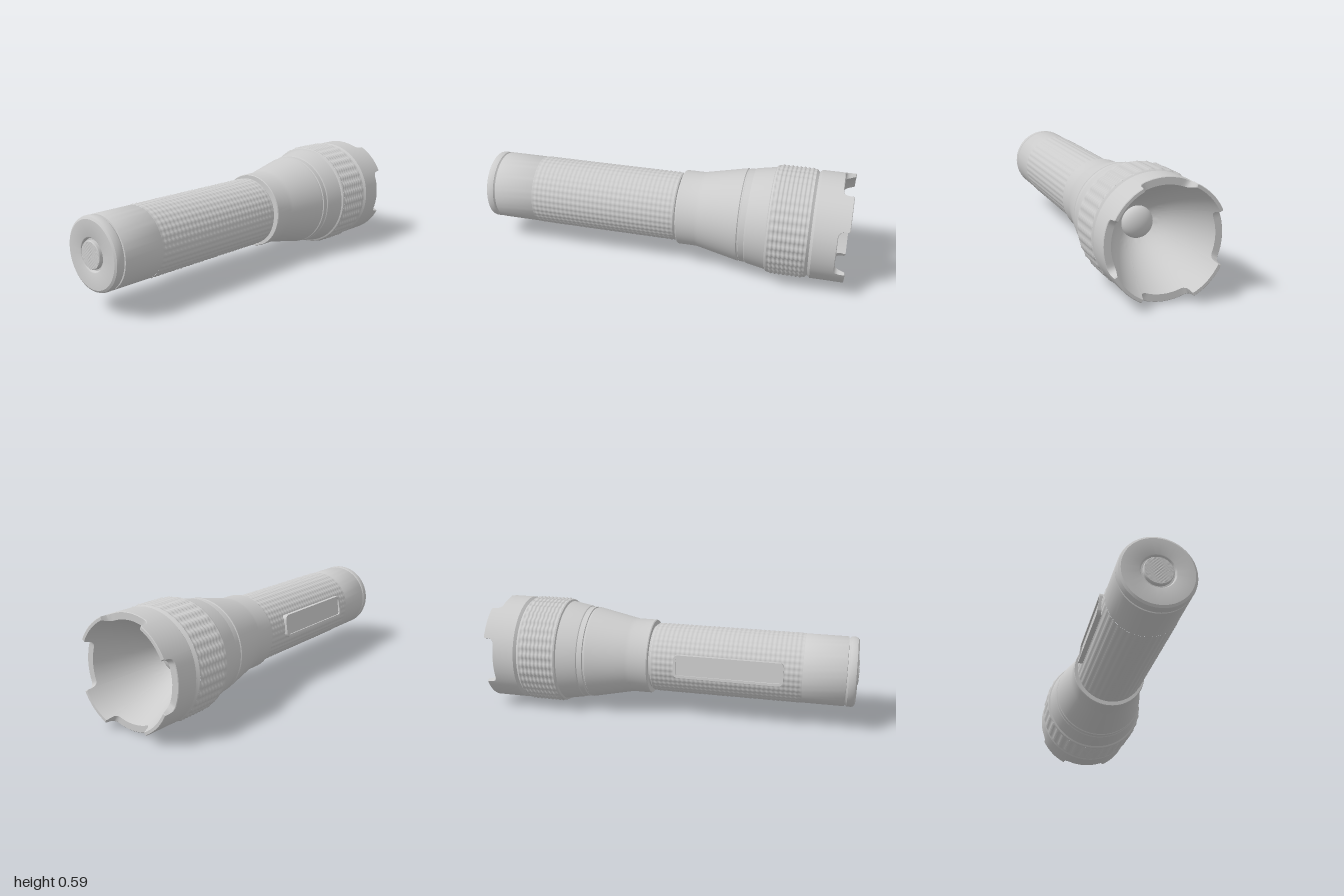
import * as THREE from 'three';
import { toCreasedNormals } from 'three/addons/utils/BufferGeometryUtils.js';

const AXIS_Y = 0.295;
const material = new THREE.MeshStandardMaterial({ color: 0xcccccc });

function addPart(parent, name, geometry, crease = 0.5) {
  const mesh = new THREE.Mesh(crease ? toCreasedNormals(geometry, crease) : geometry, material);
  mesh.name = name;
  parent.add(mesh);
  return mesh;
}

// Turned part along z; profile points are [radius, z] with z rising
function turned(profile, segments = 64) {
  const points = profile.map(([r, z]) => new THREE.Vector2(r, z));
  return new THREE.LatheGeometry(points, segments).rotateX(Math.PI / 2);
}

// Surface round the z axis; at(i, j) gives [radius, angle, z], rows run towards -z
function sweep(columns, rows, at) {
  const positions = [], index = [];
  for (let j = 0; j <= rows; j++) {
    for (let i = 0; i < columns; i++) {
      const [r, a, z] = at(i, j);
      positions.push(r * Math.cos(a), r * Math.sin(a), z);
    }
  }
  for (let j = 0; j < rows; j++) {
    for (let i = 0; i < columns; i++) {
      const n = (i + 1) % columns;
      const a = j * columns + i, b = a + columns, c = j * columns + n, d = c + columns;
      index.push(a, b, c, c, b, d);
    }
  }
  const geometry = new THREE.BufferGeometry();
  geometry.setAttribute('position', new THREE.Float32BufferAttribute(positions, 3));
  geometry.setIndex(index);
  geometry.computeVertexNormals();
  return geometry;
}

// Sleeve covered in staggered bumps
function knurl(zStart, zEnd, radius, height, around, along) {
  const columns = around * 8, rows = along * 4;
  return sweep(columns, rows, (i, j) => {
    const a = (i / columns) * Math.PI * 2, t = j / rows;
    const edge = Math.min(1, j / 2, (rows - j) / 2);
    const u = around * a, v = Math.PI * along * t;
    const bump = Math.cos(u + v) * Math.cos(u - v);
    return [radius + height * bump * edge, a, zStart + (zEnd - zStart) * t];
  });
}

// Reflector radius at a given depth
const BOWL_END = -0.635;
const bowlRadius = (z) => 0.27 * Math.sqrt((-0.6 - z) / 0.4);

// Notched bezel with the reflector bowl inside
function crown() {
  const R = 0.287;
  const half = [[0, 0.055], [0.03, 0.055], [0.06, 0.055], [0.08, 0.055], [0.1, 0.055], [0.112, 0.0525],
    [0.121, 0.046], [0.127, 0.038], [0.13, 0.025], [0.131, 0.004], [0.135, 0], [0.155, 0], [0.18, 0], [0.203, 0]];
  const mirrored = half.slice(1).reverse().map(([s, d]) => [-s, d]);
  const columns = [];
  for (let q = 0; q < 4; q++) {
    for (const [s, d] of [...mirrored, ...half]) columns.push([q * Math.PI / 2 + s / R, -1 + d]);
    columns.push([(q + 0.5) * Math.PI / 2, -1]);
  }
  const bowlRows = 14;
  return sweep(columns.length, 5 + bowlRows, (i, j) => {
    const [a, rim] = columns[i];
    if (j === 0) return [0.275, a, -0.812];
    if (j === 1) return [0.282, a, -0.82];
    if (j === 2) return [R, a, -0.826];
    if (j === 3) return [R, a, rim + 0.003];
    if (j === 4) return [R - 0.003, a, rim];
    const t = (j - 5) / bowlRows;
    const z = rim + (BOWL_END - rim) * (1 - (1 - t) ** 2);
    return [bowlRadius(z), a, z];
  });
}

function roundedRect(ShapeType, w, h, r) {
  const s = new ShapeType();
  const x = w / 2, y = h / 2;
  s.absarc(x - r, y - r, r, 0, Math.PI / 2);
  s.absarc(-x + r, y - r, r, Math.PI / 2, Math.PI);
  s.absarc(-x + r, -y + r, r, Math.PI, Math.PI * 1.5);
  s.absarc(x - r, -y + r, r, Math.PI * 1.5, Math.PI * 2);
  s.closePath();
  return s;
}

export function createModel() {
  const group = new THREE.Group();
  group.name = 'flashlight';
  const body = new THREE.Group();
  body.name = 'body';
  body.position.y = AXIS_Y;
  group.add(body);

  // Tail cap with a ringed recess for the switch
  addPart(body, 'tailCap', turned([
    [0.175, 0.935], [0.178, 0.942], [0.184, 0.947], [0.185, 0.955], [0.185, 0.972], [0.181, 0.983],
    [0.17, 0.99], [0.088, 0.99], [0.084, 0.988], [0.078, 0.976], [0.07, 0.976], [0, 0.976],
  ]));

  // Switch button with a fine grid on its face
  addPart(body, 'buttonRim', turned([[0.07, 0.97], [0.07, 0.993], [0.067, 0.997], [0.063, 0.997]], 48));
  const pad = new THREE.RingGeometry(0.0005, 0.064, 48, 16);
  const p = pad.attributes.position;
  for (let i = 0; i < p.count; i++) {
    const bump = Math.cos(p.getX(i) * 400) * Math.cos(p.getY(i) * 400);
    p.setZ(i, 0.9985 + 0.0015 * bump);
  }
  pad.computeVertexNormals();
  addPart(body, 'buttonPad', pad, 0);

  // Handle
  addPart(body, 'handleSleeve', turned([
    [0.183, 0.712], [0.185, 0.716], [0.185, 0.93], [0.183, 0.936], [0.174, 0.938],
  ]));
  addPart(body, 'handleGrip', knurl(0.715, -0.085, 0.185, 0.0035, 18, 32), 0);
  addPart(body, 'neck', turned([[0.172, -0.11], [0.172, -0.094], [0.181, -0.091], [0.185, -0.084]]));

  // Flared head between neck and grip ring
  addPart(body, 'head', turned([
    [0.272, -0.6], [0.276, -0.592], [0.274, -0.58], [0.258, -0.49], [0.256, -0.482], [0.252, -0.478],
    [0.252, -0.45], [0.247, -0.447], [0.247, -0.441], [0.251, -0.437], [0.249, -0.425],
    [0.207, -0.225], [0.203, -0.205], [0.203, -0.107], [0.2, -0.102], [0.17, -0.102],
  ]));

  // Grip ring with rounded shoulders
  addPart(body, 'gripRing', knurl(-0.6, -0.798, 0.287, 0.0075, 18, 9), 0);
  addPart(body, 'gripRingFront', turned([[0.272, -0.815], [0.275, -0.81], [0.284, -0.802], [0.287, -0.798]]));
  addPart(body, 'gripRingBack', turned([[0.287, -0.6], [0.284, -0.593], [0.273, -0.587]]));

  // Bezel, reflector and bulb
  addPart(body, 'bezelAndReflector', crown(), 0.6);
  const bulb = new THREE.SphereGeometry(bowlRadius(BOWL_END), 32, 10, 0, Math.PI * 2, 0, Math.PI / 2);
  bulb.rotateX(-Math.PI / 2).scale(1, 1, 0.6).translate(0, 0, BOWL_END);
  addPart(body, 'bulb', bulb, 0);

  // Framed panel on the right side of the handle, turned slightly upward
  const panel = new THREE.Group();
  panel.name = 'sidePanel';
  panel.rotation.z = -0.13;
  body.add(panel);
  const frame = roundedRect(THREE.Shape, 0.58, 0.122, 0.025);
  frame.holes.push(roundedRect(THREE.Path, 0.554, 0.096, 0.015));
  const options = { bevelEnabled: false, curveSegments: 6 };
  const layers = [
    ['panelFrame', frame, 0.035],
    ['panelFace', roundedRect(THREE.Shape, 0.556, 0.098, 0.015), 0.026],
  ];
  for (const [name, shape, depth] of layers) {
    const geometry = new THREE.ExtrudeGeometry(shape, { ...options, depth });
    geometry.rotateY(-Math.PI / 2).translate(-0.165, 0, 0.33);
    addPart(panel, name, geometry);
  }
  return group;
}
